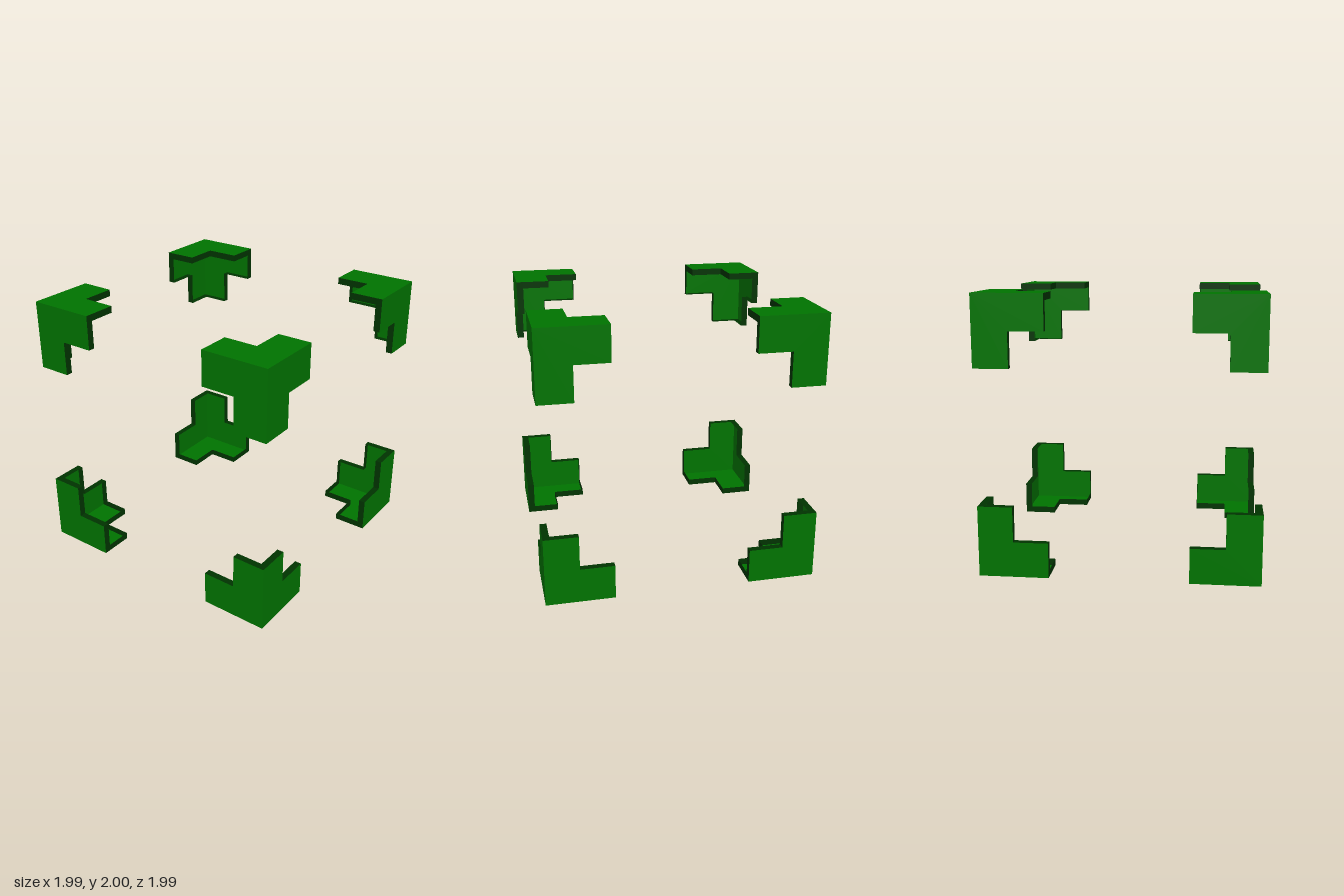
import * as THREE from 'three';

const HALF = 0.996;                         // half width and depth of the frame
const FLAT = { arm: 0.5, width: 0.25 };     // arm length and width along x and z
const TALL = { arm: 0.512, width: 0.256 };  // the same along y
const LIP = 0.05;                           // depth of the rim turned inwards

// Free edges of an L: from the end of one arm, round the notch, to the end of the other
const freeEdges = (u, v, startV, startU) => [
  [u.arm, startV], [u.arm, v.width], [u.width, v.width], [u.width, v.arm], [startU, v.arm],
];

// L-shaped skin with its outer corner at the origin
function skinGeometry(u, v) {
  const pts = [[0, 0], [u.arm, 0], ...freeEdges(u, v, 0, 0).slice(1), [0, v.arm]];
  return new THREE.ShapeGeometry(new THREE.Shape(pts.map(([a, b]) => new THREE.Vector2(a, b))));
}

// Strip standing on the free edges of the L
function rimGeometry(u, v, trimU, trimV) {
  const pts = freeEdges(u, v, trimV, trimU);
  const positions = [];
  for (let i = 0; i < pts.length - 1; i++) {
    const [a, b] = pts[i], [c, d] = pts[i + 1];
    positions.push(a, b, 0, c, d, 0, c, d, LIP, a, b, 0, c, d, LIP, a, b, LIP);
  }
  const geo = new THREE.BufferGeometry();
  geo.setAttribute('position', new THREE.Float32BufferAttribute(positions, 3));
  return geo;
}

export function createModel() {
  const model = new THREE.Group();
  model.name = 'cornerBrackets';
  const green = new THREE.MeshStandardMaterial({ color: 0x007300, side: THREE.DoubleSide });
  green.name = 'green';
  const darkGreen = new THREE.MeshStandardMaterial({ color: 0x003300, side: THREE.DoubleSide });
  darkGreen.name = 'darkGreen';

  for (const sx of [-1, 1]) for (const sy of [-1, 1]) for (const sz of [-1, 1]) {
    const bracket = new THREE.Group();
    bracket.name = `${sy > 0 ? 'upper' : 'lower'}${sz > 0 ? 'Front' : 'Back'}${sx > 0 ? 'Left' : 'Right'}Bracket`;
    bracket.position.set(sx * HALF, 1 + sy, sz * HALF);

    // directions from the outer corner towards the middle of the frame
    const x = new THREE.Vector3(-sx, 0, 0);
    const y = new THREE.Vector3(0, -sy, 0);
    const z = new THREE.Vector3(0, 0, -sz);

    const add = (name, geo, basis, material) => {
      geo.applyMatrix4(basis);
      geo.computeVertexNormals();
      const mesh = new THREE.Mesh(geo, material);
      mesh.name = name;
      bracket.add(mesh);
    };
    const addPlate = (name, du, dv, inward, u, v, trimU, trimV) => {
      const basis = new THREE.Matrix4().makeBasis(du, dv, inward);
      add(name + 'Plate', skinGeometry(u, v), basis, green);
      add(name + 'Rim', rimGeometry(u, v, trimU, trimV), basis, darkGreen);
    };

    addPlate('face', x, y, z, FLAT, TALL, 0, 0);
    addPlate('side', z, y, x, FLAT, TALL, LIP, 0);
    addPlate('level', x, z, y, FLAT, FLAT, LIP, LIP);

    model.add(bracket);
  }
  return model;
}
